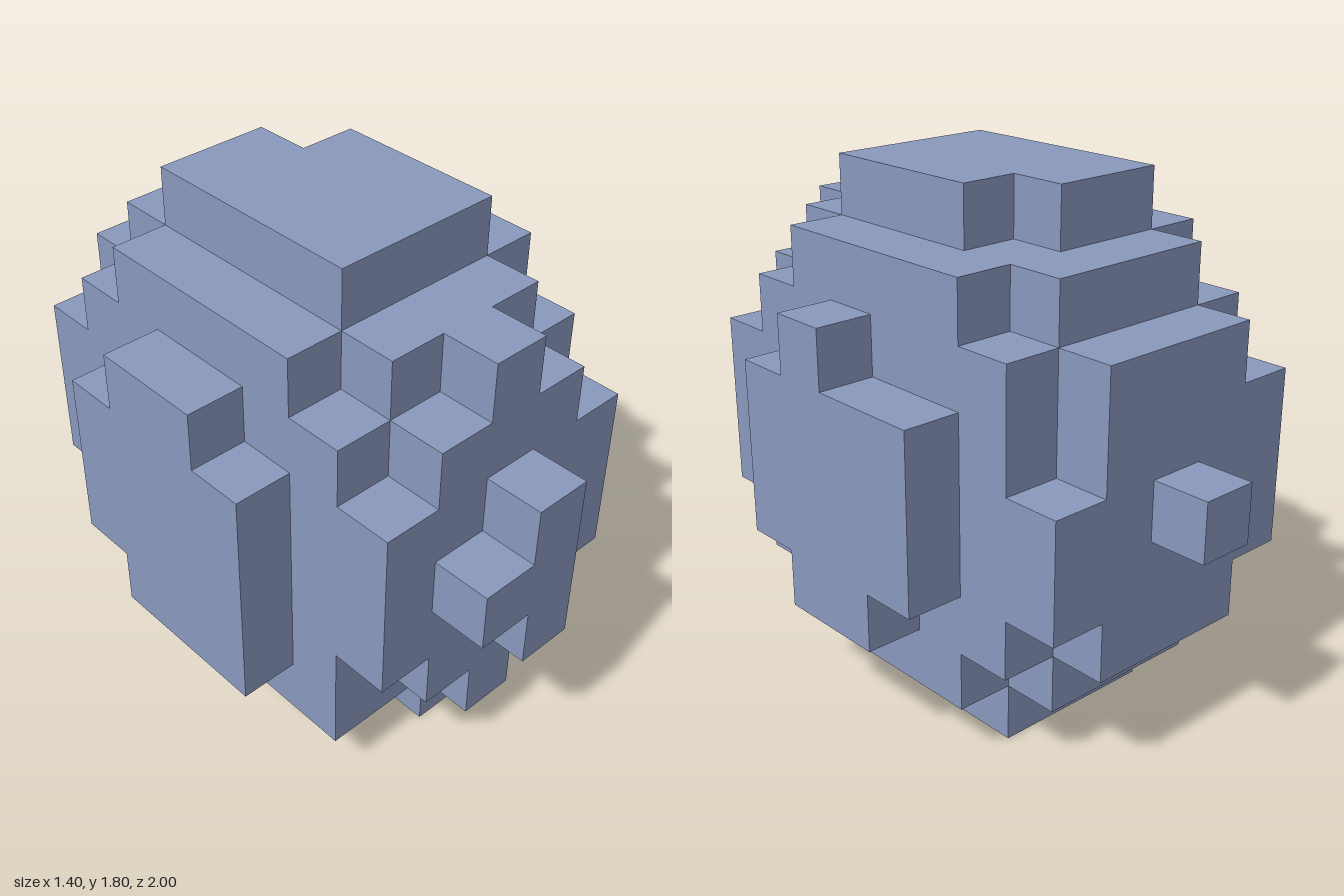
import * as THREE from 'three';
import { mergeGeometries } from 'three/addons/utils/BufferGeometryUtils.js';

const U = 0.2; // block edge

// Each part is a list of block runs: [x0, x1, y0, y1, z0, z1], inclusive grid indices.
// Grid: x 0..6, y 0..8 (bottom to top), z 0..9 (back to front).
const PARTS = {
  body: [
    [1, 5, 1, 7, 3, 6], // core
    [1, 5, 2, 6, 2, 2], [2, 4, 1, 7, 2, 2], // back step
    [1, 5, 2, 6, 7, 7], [2, 4, 7, 7, 7, 7], [1, 4, 1, 1, 7, 7], // front step
  ],
  backPlate: [[2, 4, 2, 6, 1, 1], [1, 4, 5, 5, 1, 1], [1, 5, 3, 4, 1, 1]],
  frontPlate: [[1, 5, 3, 5, 8, 8], [2, 4, 2, 6, 8, 8], [3, 3, 1, 7, 8, 8]],
  nose: [[3, 3, 3, 5, 9, 9], [2, 2, 4, 4, 9, 9]],
  tail: [[3, 3, 4, 4, 0, 0]],
  rightSidePanel: [[0, 0, 3, 5, 3, 6], [0, 0, 6, 6, 4, 5], [0, 0, 2, 2, 4, 6]],
  leftSidePanel: [[6, 6, 3, 5, 3, 6], [6, 6, 6, 6, 5, 5], [6, 6, 2, 2, 4, 5]],
  crown: [[2, 3, 8, 8, 3, 6], [4, 4, 8, 8, 4, 6]],
  base: [[2, 4, 0, 0, 3, 6], [3, 3, 0, 0, 7, 7]],
};

// Six block faces: outward direction and the turn that points a plane that way
const FACES = [
  [[0, 0, 1], 0, 0], [[0, 0, -1], 0, Math.PI],
  [[1, 0, 0], 0, Math.PI / 2], [[-1, 0, 0], 0, -Math.PI / 2],
  [[0, 1, 0], -Math.PI / 2, 0], [[0, -1, 0], Math.PI / 2, 0],
];

const key = (x, y, z) => `${x},${y},${z}`;

export function createModel() {
  const group = new THREE.Group();
  group.name = 'blockCreature';
  const slateBlue = new THREE.MeshStandardMaterial({ color: 0x8b9abf });
  slateBlue.name = 'slateBlue';

  // Fill the grid, remembering which part owns each block
  const blocks = new Map();
  for (const [name, runs] of Object.entries(PARTS))
    for (const [x0, x1, y0, y1, z0, z1] of runs)
      for (let x = x0; x <= x1; x++)
        for (let y = y0; y <= y1; y++)
          for (let z = z0; z <= z1; z++)
            blocks.set(key(x, y, z), { name, p: [x, y, z] });

  // Keep only the outer faces of each part's blocks
  for (const name of Object.keys(PARTS)) {
    const faces = [];
    for (const block of blocks.values()) {
      if (block.name !== name) continue;
      const [x, y, z] = block.p;
      for (const [[dx, dy, dz], rx, ry] of FACES) {
        if (blocks.has(key(x + dx, y + dy, z + dz))) continue;
        faces.push(new THREE.PlaneGeometry(U, U)
          .rotateX(rx).rotateY(ry)
          .translate((x - 3 + dx / 2) * U, (y + 0.5 + dy / 2) * U, (z - 4.5 + dz / 2) * U));
      }
    }
    const mesh = new THREE.Mesh(mergeGeometries(faces), slateBlue);
    mesh.name = name;
    group.add(mesh);
  }
  return group;
}
